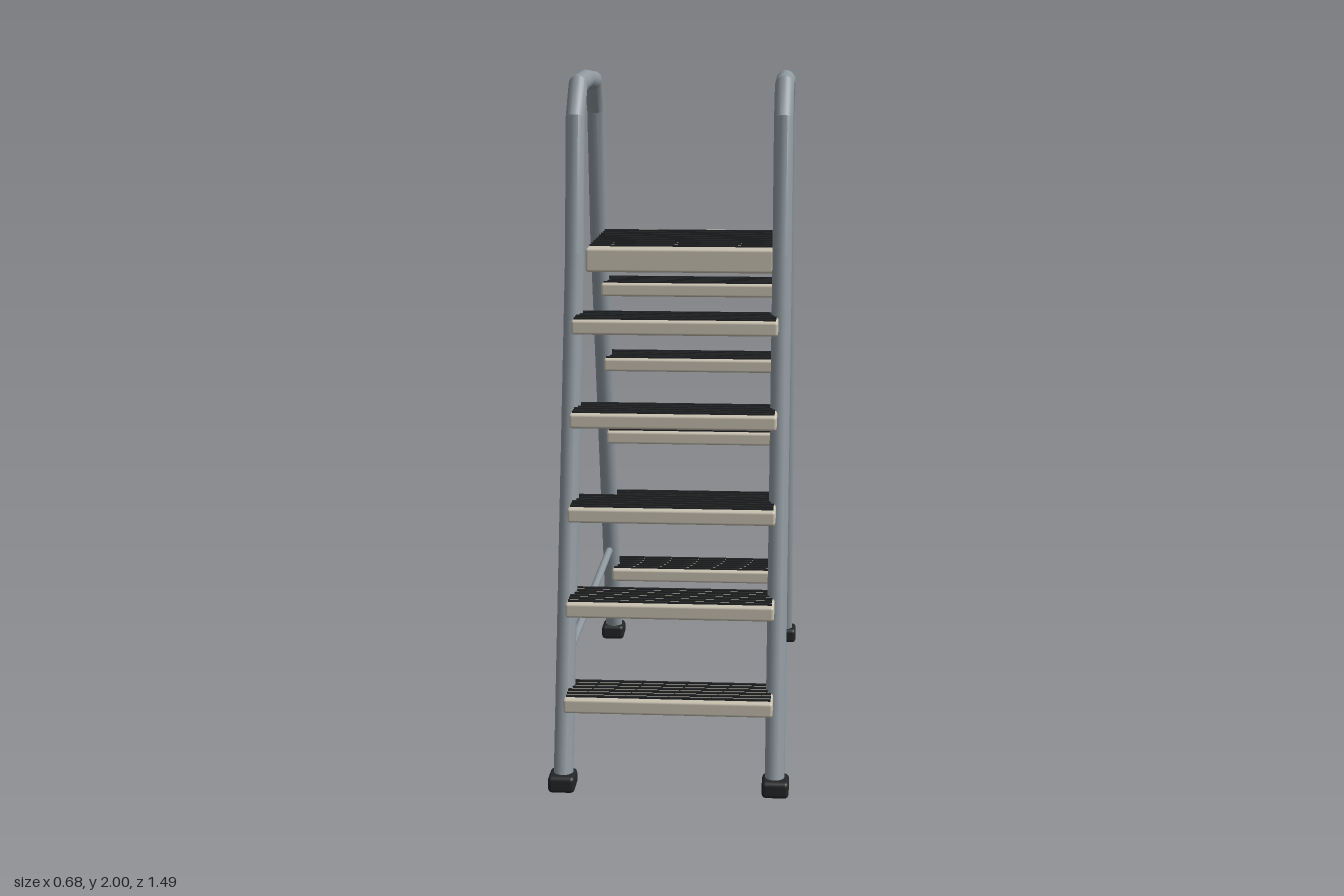
import * as THREE from 'three';
import { toCreasedNormals } from 'three/addons/utils/BufferGeometryUtils.js';
import { RoundedBoxGeometry } from 'three/addons/geometries/RoundedBoxGeometry.js';

const metal = new THREE.MeshStandardMaterial({ color: 0x8e989f });
const board = new THREE.MeshStandardMaterial({ color: 0xc9c2b1 });
const rubber = new THREE.MeshStandardMaterial({ color: 0x232526 });

function add(parent, name, geometry, material, x = 0, y = 0, z = 0) {
  const mesh = new THREE.Mesh(geometry, material);
  mesh.name = name;
  mesh.position.set(x, y, z);
  parent.add(mesh);
  return mesh;
}

// Round tube with mitred bends along a path of [z, y] points
function mitredTube(path, radius) {
  const pts = path.map(([z, y]) => new THREE.Vector2(z, y));
  const last = pts.length - 1;
  const dirs = pts.slice(1).map((p, i) => p.clone().sub(pts[i]).normalize());
  const geo = new THREE.CylinderGeometry(radius, radius, 1, 16, last);
  const pos = geo.attributes.position;
  for (let i = 0; i < pos.count; i++) {
    const row = Math.round((0.5 - pos.getY(i)) * last);
    const a = dirs[Math.max(row - 1, 0)], b = dirs[Math.min(row, last - 1)];
    const t = a.clone().add(b).normalize();
    const offset = pos.getZ(i) / t.dot(a);
    pos.setXYZ(i, pos.getX(i), pts[row].y + t.x * offset, pts[row].x - t.y * offset);
  }
  return toCreasedNormals(geo, 0.5);
}

// Board with raised dark grip strips across its top
function treadBoard(name, width, height, depth, strips, spacing) {
  const group = new THREE.Group();
  group.name = name;
  add(group, name + 'Board', new RoundedBoxGeometry(width, height, depth, 2, 0.008), board);
  const strip = new THREE.BoxGeometry(width - 0.012, 0.008, 0.008);
  for (let i = 0; i < strips; i++) {
    add(group, 'gripStrip', strip, rubber, 0, height / 2 + 0.001, (i - (strips - 1) / 2) * spacing);
  }
  return group;
}

export function createModel() {
  const model = new THREE.Group();
  model.name = 'doubleSidedStepLadder';

  // Side rails: legs running up into a handrail arch, with feet and a low brace
  const half = [[0.7, 0.03], [0.315, 1.48], [0.267, 1.87], [0.19, 1.962]];
  const path = [...half, [0, 1.972], ...half.map(([z, y]) => [-z, y]).reverse()];
  const railGeo = mitredTube(path, 0.028);
  const braceGeo = new THREE.CylinderGeometry(0.012, 0.012, 1.1, 12).rotateX(Math.PI / 2);
  const footGeo = new RoundedBoxGeometry(0.076, 0.048, 0.086, 2, 0.012);
  for (const side of [1, -1]) {
    const name = side > 0 ? 'left' : 'right';
    add(model, name + 'Rail', railGeo, metal, side * 0.3);
    add(model, name + 'Brace', braceGeo, metal, side * 0.3, 0.355, 0);
    for (const end of [1, -1]) add(model, 'foot', footGeo, rubber, side * 0.302, 0.026, end * 0.702);
  }

  // Steps on the front and back flights
  for (const end of [1, -1]) {
    for (let i = 0; i < 5; i++) {
      const step = treadBoard(end > 0 ? 'frontStep' : 'backStep', 0.586, 0.042, 0.178, 6, 0.026);
      step.position.set(0, 0.262 + i * 0.2575, end * (0.657 - i * 0.0675));
      model.add(step);
    }
  }

  // Standing platform
  const platform = treadBoard('platform', 0.55, 0.07, 0.536, 9, 0.0515);
  platform.position.y = 1.458;
  model.add(platform);

  return model;
}
